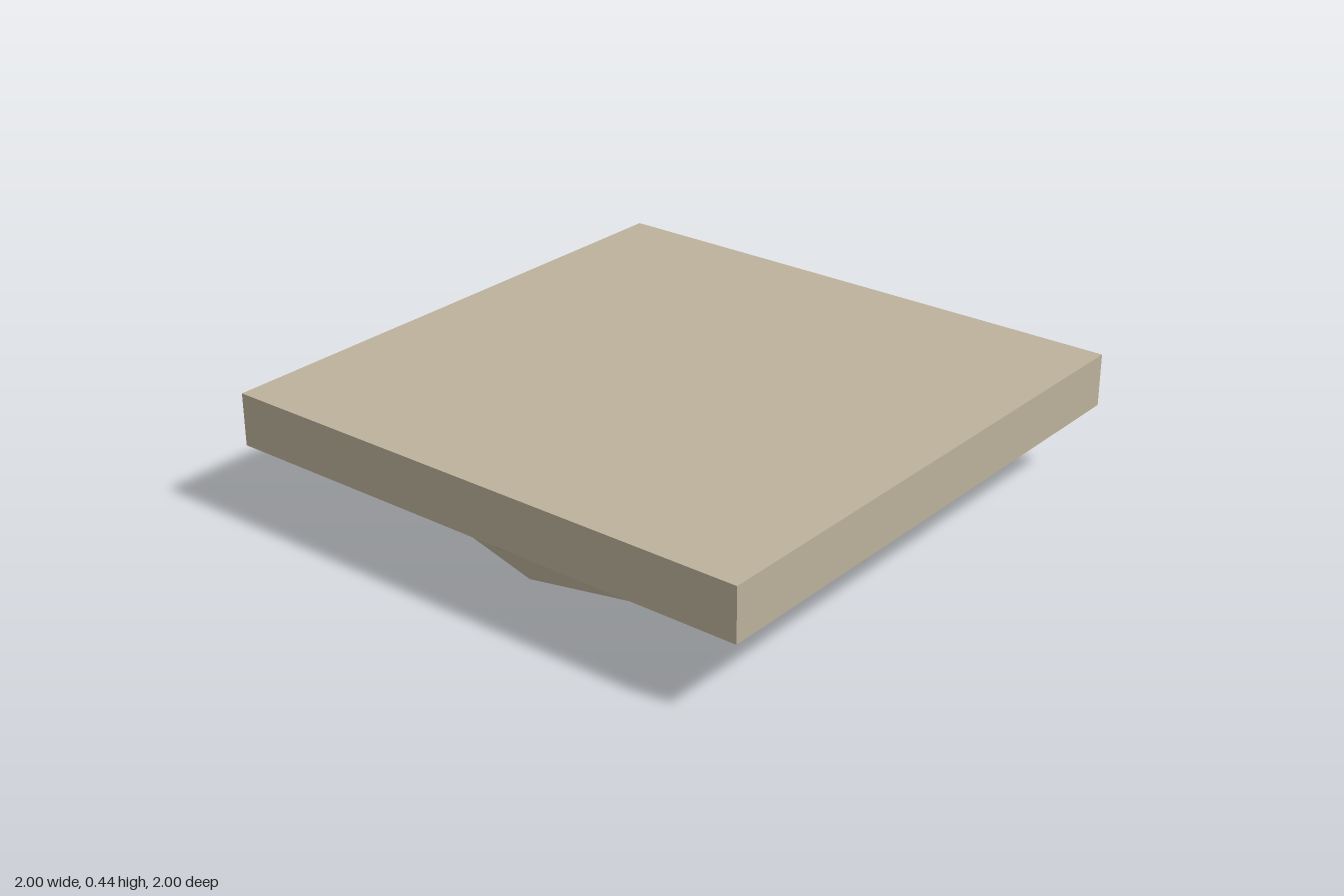
import * as THREE from 'three';

export function createModel() {
  const group = new THREE.Group();
  group.name = 'columnCapital';

  const stone = new THREE.MeshStandardMaterial({ color: 0xbcb19b, flatShading: true });
  stone.name = 'stone';

  // Twelve-sided flaring moulding with a closed underside
  const profile = [[0, 0], [0.75, 0], [0.775, 0.09], [0.9, 0.175], [0.965, 0.255]]
    .map(([r, y]) => new THREE.Vector2(r, y));
  const moulding = new THREE.Mesh(new THREE.LatheGeometry(profile, 12), stone);
  moulding.name = 'moulding';
  group.add(moulding);

  // Square slab on top
  const bottom = 0.255, top = 0.44;
  const slab = new THREE.Mesh(new THREE.BoxGeometry(2, top - bottom, 2), stone);
  slab.position.y = (bottom + top) / 2;
  slab.name = 'slab';
  group.add(slab);

  return group;
}
